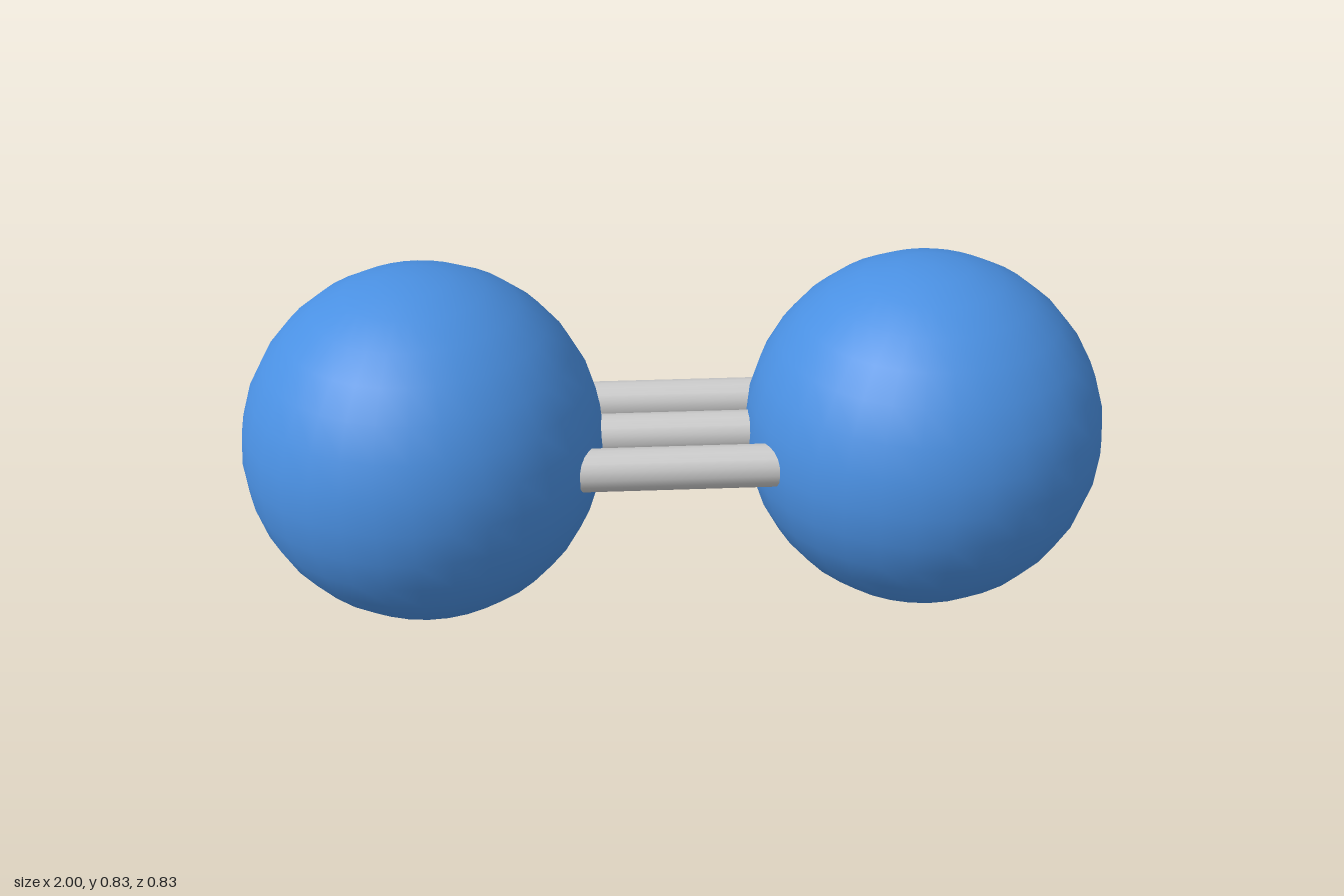
import * as THREE from 'three';

const RADIUS = 0.417;      // ball radius
const OFFSET = 0.583;      // ball centre from the middle
const ROD_RADIUS = 0.05;
const ROD_SPACING = 0.16;

export function createModel() {
  const model = new THREE.Group();
  model.name = 'tripleBondMolecule';

  const blue = new THREE.MeshStandardMaterial({ color: 0x4a90e2 });
  const grey = new THREE.MeshStandardMaterial({ color: 0xcccccc });

  // Two atoms, mirrored across x = 0
  const ball = new THREE.SphereGeometry(RADIUS, 32, 16);
  for (const side of [-1, 1]) {
    const atom = new THREE.Mesh(ball, blue);
    atom.name = side > 0 ? 'leftAtom' : 'rightAtom';
    atom.position.set(side * OFFSET, RADIUS, 0);
    model.add(atom);
  }

  // Three parallel rods running between the atom centres
  const rod = new THREE.CylinderGeometry(ROD_RADIUS, ROD_RADIUS, 2 * OFFSET, 16);
  rod.rotateZ(Math.PI / 2);
  ['backBond', 'middleBond', 'frontBond'].forEach((name, i) => {
    const bond = new THREE.Mesh(rod, grey);
    bond.name = name;
    bond.position.set(0, RADIUS, (i - 1) * ROD_SPACING);
    model.add(bond);
  });

  return model;
}
